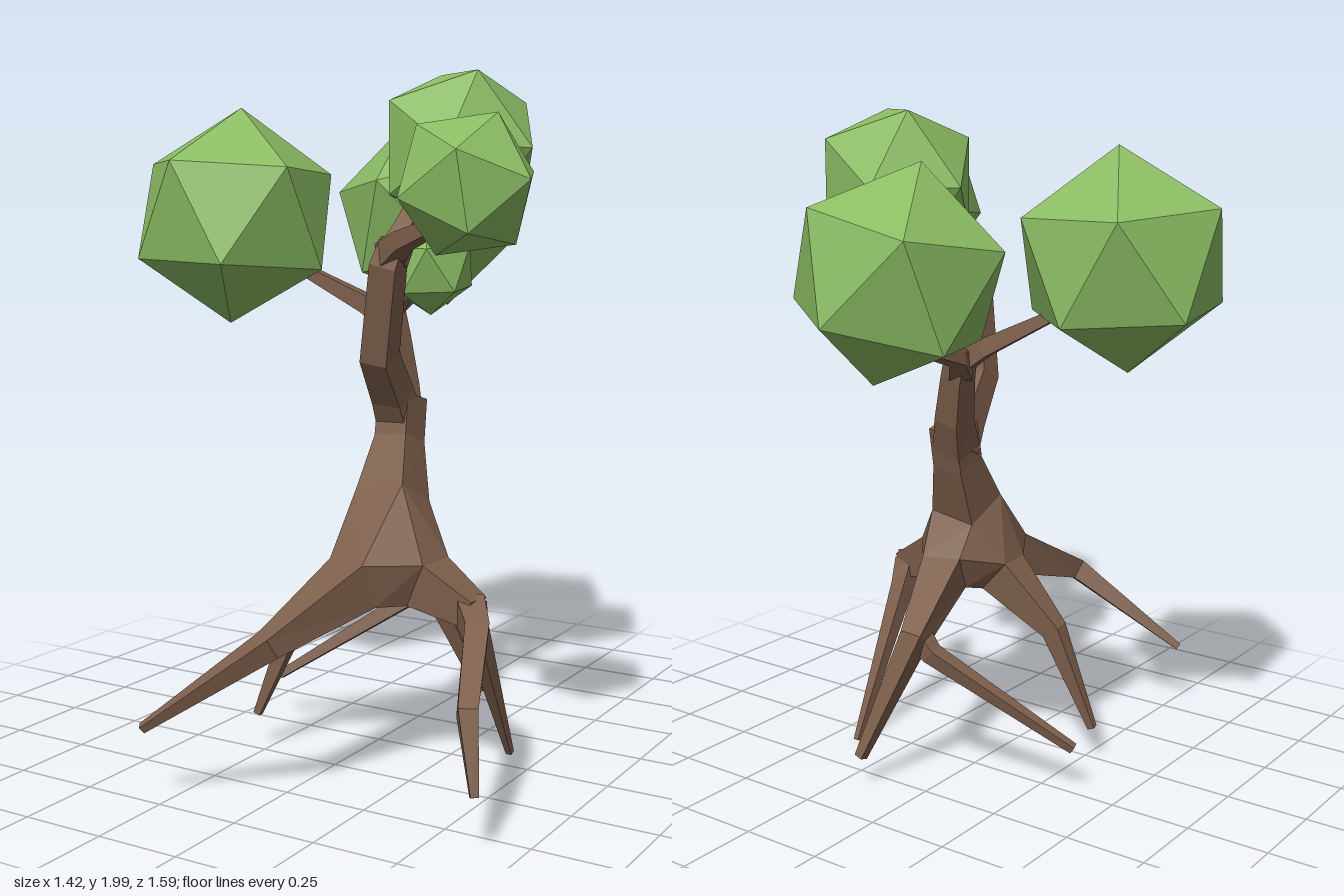
import * as THREE from 'three';
import { ConvexGeometry } from 'three/addons/geometries/ConvexGeometry.js';

const V = (a) => new THREE.Vector3(a[0], a[1], a[2]);
const bark = new THREE.MeshStandardMaterial({ color: 0x7d5f4b, flatShading: true });
const leaf = new THREE.MeshStandardMaterial({ color: 0x8abb62, flatShading: true });

// square cross-sections along a path of [x, y, z, halfWidth]
function sections(path, ref) {
  const pts = path.map(V);
  let n = V(ref);
  return pts.map((p, i) => {
    const t = new THREE.Vector3();
    if (i > 0) t.add(p.clone().sub(pts[i - 1]).normalize());
    if (i < pts.length - 1) t.add(pts[i + 1].clone().sub(p).normalize());
    t.normalize();
    n = n.clone().addScaledVector(t, -n.dot(t)).normalize();
    const b = t.clone().cross(n);
    return [[1, -1], [1, 1], [-1, 1], [-1, -1]].map(([c, d]) =>
      p.clone().addScaledVector(n, c * path[i][3]).addScaledVector(b, d * path[i][3]));
  });
}

// tapered four-sided limb with closed ends
function limb(name, rings) {
  const pos = [];
  const quad = (a, b, c, d) => [a, b, c, a, c, d].forEach((v) => pos.push(v.x, v.y, v.z));
  for (let i = 0; i < rings.length - 1; i++) {
    for (let k = 0; k < 4; k++) {
      const m = (k + 1) % 4;
      quad(rings[i][k], rings[i][m], rings[i + 1][m], rings[i + 1][k]);
    }
  }
  quad(...rings[0].slice().reverse());
  quad(...rings[rings.length - 1]);
  const g = new THREE.BufferGeometry();
  g.setAttribute('position', new THREE.Float32BufferAttribute(pos, 3));
  g.computeVertexNormals();
  const mesh = new THREE.Mesh(g, bark);
  mesh.name = name;
  return mesh;
}

// orthonormal basis from two neighbouring corner directions
function basis(a, b) {
  const x = a.clone().normalize();
  const y = b.clone().addScaledVector(x, -b.dot(x)).normalize();
  return new THREE.Matrix4().makeBasis(x, y, x.clone().cross(y));
}

// twenty-sided leaf ball, turned so two adjacent corners point along v1 and v2
function leafBall(center, r, v1, v2) {
  const phi = (1 + Math.sqrt(5)) / 2;
  const own = basis(new THREE.Vector3(-1, phi, 0), new THREE.Vector3(1, phi, 0));
  const g = new THREE.IcosahedronGeometry(r, 0);
  g.applyMatrix4(basis(V(v1), V(v2)).multiply(own.transpose()));
  const mesh = new THREE.Mesh(g, leaf);
  mesh.position.copy(V(center));
  mesh.name = 'leafBall';
  return mesh;
}

export function createModel() {
  const tree = new THREE.Group();
  tree.name = 'tree';
  const Y = [0, 1, 0], Z = [0, 0, 1];

  // limbs that grow out of the hub: trunk and main roots
  const hubLimbs = [
    ['trunk', Z, [[.125, .8, .13, .077], [.1, .95, .05, .053], [.09, 1.07, .015, .052]]],
    ['frontRoot', Y, [[.13, .59, .36, .067], [.04, .47, .64, .032], [-.29, .22, .77, .011]]],
    ['leftRoot', Y, [[.29, .585, .22, .066], [.44, .52, .23, .04]]],
    ['backRoot', Y, [[.13, .6, .02, .06], [.06, .47, -.22, .034], [.18, .1, -.335, .014]]],
    ['rightRoot', Y, [[.02, .58, .18, .06], [-.16, .42, .2, .03], [-.28, .11, .24, .011]]],
  ];
  const hubPoints = [new THREE.Vector3(.15, .51, .18)];
  for (const [name, ref, path] of hubLimbs) {
    const rings = sections(path, ref);
    hubPoints.push(...rings[0]);
    tree.add(limb(name, rings));
  }
  const hub = new THREE.Mesh(new ConvexGeometry(hubPoints), bark);
  hub.name = 'rootHub';
  tree.add(hub);

  // forked roots and branches
  const forks = [
    ['leftRootOuterFork', Y, [[.42, .53, .22, .04], [.49, .49, .31, .033], [.6, .36, .57, .026], [.645, .16, .615, .011]]],
    ['leftRootInnerFork', Z, [[.425, .53, .22, .034], [.415, .46, .17, .027], [.4, .01, -.09, .009]]],
    ['backRootFork', Y, [[.08, .48, -.19, .03], [.02, .42, -.19, .024], [-.365, .15, -.005, .012]]],
    ['frontBranch', Z, [[.09, 1.0, .03, .05], [.095, 1.08, .08, .046], [.11, 1.2, .18, .042], [.17, 1.46, .235, .04], [.19, 1.53, .225, .034]]],
    ['topTwig', Z, [[.185, 1.48, .24, .035], [.195, 1.56, .18, .027], [.2, 1.68, .07, .02]]],
    ['frontTwig', Y, [[.17, 1.49, .235, .035], [.24, 1.53, .28, .026], [.43, 1.59, .38, .016]]],
    ['backBranch', Z, [[.09, 1.0, .03, .05], [.06, 1.1, -.02, .042], [.02, 1.24, -.055, .036], [0, 1.31, -.065, .034]]],
    ['backTwig', Y, [[.005, 1.26, -.06, .034], [-.035, 1.31, -.13, .025], [-.06, 1.39, -.42, .014]]],
    ['rightTwig', Y, [[.01, 1.28, -.06, .034], [-.07, 1.33, -.05, .026], [-.26, 1.43, 0, .016]]],
    ['smallTwig', Z, [[.005, 1.28, -.06, .026], [.03, 1.34, -.07, .02], [.09, 1.4, -.08, .014]]],
  ];
  for (const [name, ref, path] of forks) tree.add(limb(name, sections(path, ref)));

  // leaf balls: centre, radius, two corner directions
  tree.add(
    leafBall([-.433, 1.59, .109], .32, [.01, .32, -.02], [-.037, .09, .294]),
    leafBall([-.13, 1.59, -.523], .3, [-.063, .293, .026], [.27, .05, .09]),
    leafBall([.225, 1.785, -.068], .25, [-.1, .21, -.08], [.1, .21, .08]),
    leafBall([.522, 1.68, .447], .195, [.08, .18, -.015], [.03, .02, .18]),
    leafBall([.12, 1.445, -.088], .144, [0, .14, .01], [.14, .01, -.02]),
  );
  return tree;
}
